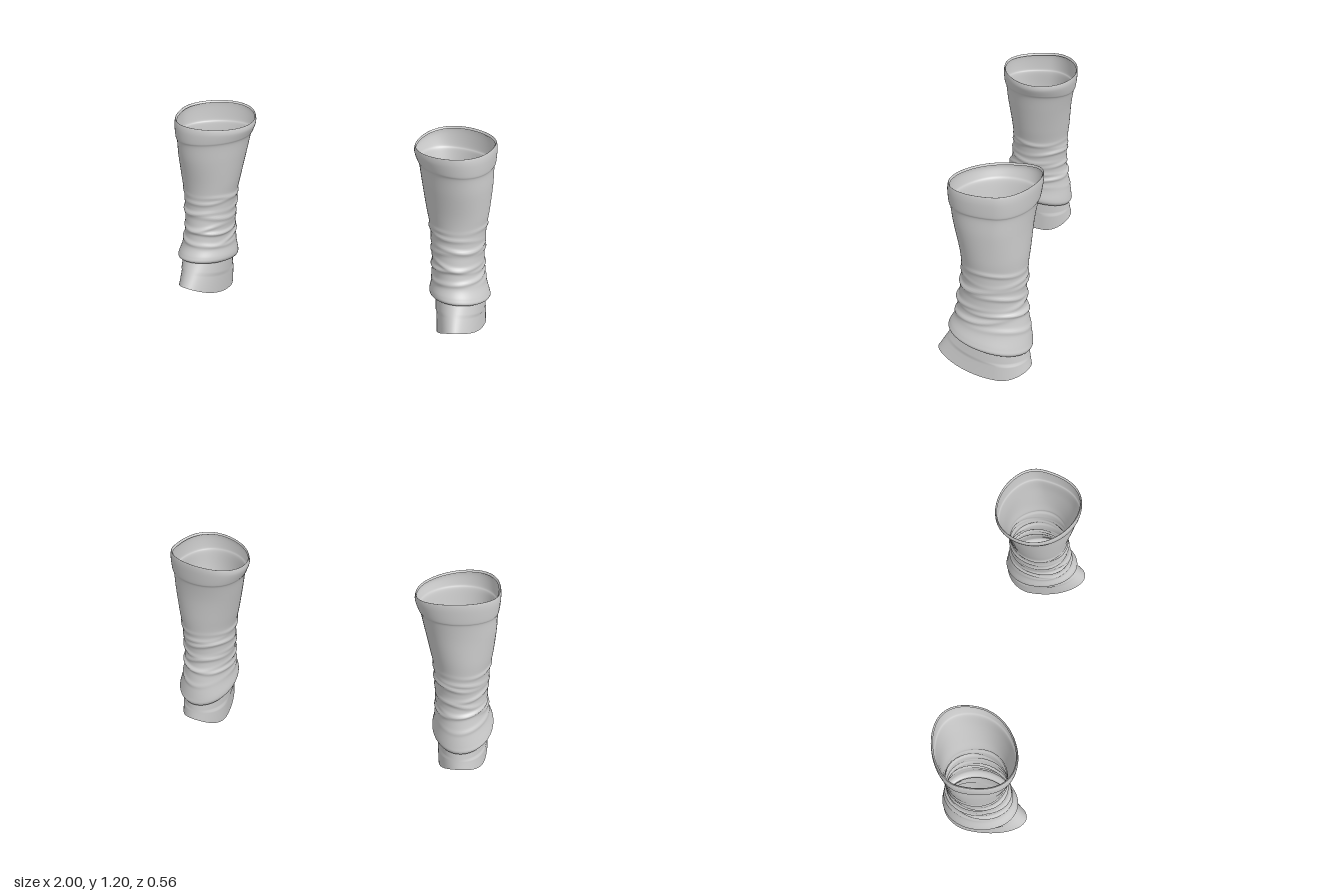
import * as THREE from 'three';

const SEGMENTS = 72;

// Ring keys, top to bottom: yFront, yBack, xInner, xOuter, zFront, zBack, sideRise, sideArch
const SLEEVE = [
  [1.165, 1.188, 0.515, 0.957, 0.192, -0.268, 0.02, -0.013],
  [1.177, 1.2, 0.508, 0.967, 0.2, -0.277, 0.02, -0.013],
  [1.14, 1.16, 0.505, 0.974, 0.205, -0.278, 0.015, -0.01],
  [1.08, 1.085, 0.522, 0.972, 0.2, -0.268, 0, 0],
  [1.05, 1.055, 0.537, 0.965, 0.191, -0.257, 0, 0],
  [0.95, 0.95, 0.56, 0.967, 0.178, -0.24, 0, 0],
  [0.8, 0.8, 0.595, 0.96, 0.152, -0.228, 0, 0],
  [0.7, 0.7, 0.62, 0.95, 0.143, -0.218, 0, 0],
  [0.6, 0.6, 0.634, 0.947, 0.145, -0.213, 0, 0],
  [0.5, 0.5, 0.645, 0.948, 0.16, -0.21, 0, 0],
  [0.43, 0.41, 0.653, 0.953, 0.17, -0.223, 0, 0],
  [0.37, 0.31, 0.65, 0.973, 0.185, -0.24, 0, 0],
  [0.325, 0.235, 0.641, 0.994, 0.21, -0.25, 0, 0],
  [0.3, 0.205, 0.646, 1.0, 0.218, -0.252, 0, 0],
  [0.283, 0.185, 0.665, 0.985, 0.2, -0.24, 0, 0],
  [0.287, 0.192, 0.68, 0.97, 0.185, -0.226, 0, 0],
];
const CUFF = [
  [0.31, 0.21, 0.68, 0.968, 0.18, -0.226, 0, 0],
  [0.28, 0.18, 0.682, 0.972, 0.193, -0.232, 0, -0.01],
  [0.21, 0.125, 0.69, 0.975, 0.236, -0.24, 0.01, -0.04],
  [0.14, 0.075, 0.7, 0.98, 0.28, -0.25, 0.0225, -0.08],
];
// Cloth folds: height, tilt, phase, strength, width
const FOLDS = [
  [0.7, 0.012, 0.5, 0.007, 0.012],
  [0.655, 0.02, 2.6, 0.007, 0.012],
  [0.605, 0.012, 4.2, 0.012, 0.013],
  [0.555, 0.02, 1.2, 0.009, 0.013],
  [0.5, 0.018, 3.4, 0.01, 0.013],
  [0.455, 0.016, 1.6, 0.013, 0.012],
  [0.41, 0.02, 5.2, 0.01, 0.013],
  [0.365, 0.03, 1.5, 0.006, 0.014],
];

// Smooth interpolation through the ring keys
function ringAt(keys, t) {
  const n = keys.length - 1;
  const i = Math.min(Math.floor(t * n), n - 1);
  const f = t * n - i;
  return keys[i].map((p1, c) => {
    const p2 = keys[i + 1][c];
    const p0 = keys[Math.max(i - 1, 0)][c];
    const p3 = keys[Math.min(i + 2, n)][c];
    return p1 + 0.5 * f * (p2 - p0 + f * (2 * p0 - 5 * p1 + 4 * p2 - p3 + f * (3 * (p1 - p2) + p3 - p0)));
  });
}

function foldOffset(y, a) {
  let d = 0;
  for (const [h, tilt, phase, strength, width] of FOLDS) {
    const k = (y - h - tilt * Math.cos(a - phase) - 0.006 * Math.sin(3 * a + phase * 2)) / width;
    d += strength * (0.6 + 0.4 * Math.cos(2 * a + phase)) * Math.exp(-k * k);
  }
  return d;
}

// Open tube lofted through the rings; side is +1 for left, -1 for right
function loft(keys, rows, side, folded) {
  const positions = [], indices = [];
  for (let j = 0; j <= rows; j++) {
    const [yF, yB, xI, xO, zF, zB, rise, arch] = ringAt(keys, j / rows);
    const upper = THREE.MathUtils.smoothstep(yF, 0.7, 1.17);
    const zMid = (yF < 0.22 ? -0.06 : -0.03) - 0.04 * upper;
    for (let i = 0; i < SEGMENTS; i++) {
      const a = (i / SEGMENTS) * Math.PI * 2;
      const c = Math.cos(a), s = Math.sin(a);
      const y = (yF + yB) / 2 + ((yF - yB) / 2) * s + rise * c + arch * c * c;
      const d = folded ? foldOffset(y, a) : 0;
      // The front of the mouth leans outward, the back inward
      const x = (xI + xO) / 2 + ((xO - xI) / 2) * c + 0.045 * upper * s * Math.abs(s) + d * c;
      const z = zMid + (s > 0 ? zF - zMid : zMid - zB) * s + d * s;
      positions.push(side * x, y, z);
    }
  }
  for (let j = 0; j < rows; j++) {
    for (let i = 0; i < SEGMENTS; i++) {
      const a = j * SEGMENTS + i, b = j * SEGMENTS + ((i + 1) % SEGMENTS);
      const c = a + SEGMENTS, d = b + SEGMENTS;
      if (side > 0) indices.push(a, b, c, b, d, c);
      else indices.push(a, c, b, b, c, d);
    }
  }
  const geometry = new THREE.BufferGeometry();
  geometry.setAttribute('position', new THREE.Float32BufferAttribute(positions, 3));
  geometry.setIndex(indices);
  geometry.computeVertexNormals();
  return geometry;
}

export function createModel() {
  const model = new THREE.Group();
  model.name = 'legWarmers';
  const cloth = new THREE.MeshStandardMaterial({ color: 0xcccccc, side: THREE.DoubleSide });
  cloth.name = 'light grey cloth';

  for (const [name, side] of [['left', 1], ['right', -1]]) {
    const leg = new THREE.Group();
    leg.name = name + 'LegWarmer';
    // Gathered sleeve with hemmed mouth and rolled lower edge
    const sleeve = new THREE.Mesh(loft(SLEEVE, 165, side, true), cloth);
    sleeve.name = name + 'Sleeve';
    // Flared cuff over the foot
    const cuff = new THREE.Mesh(loft(CUFF, 24, side, false), cloth);
    cuff.name = name + 'Cuff';
    leg.add(sleeve, cuff);
    model.add(leg);
  }
  return model;
}
